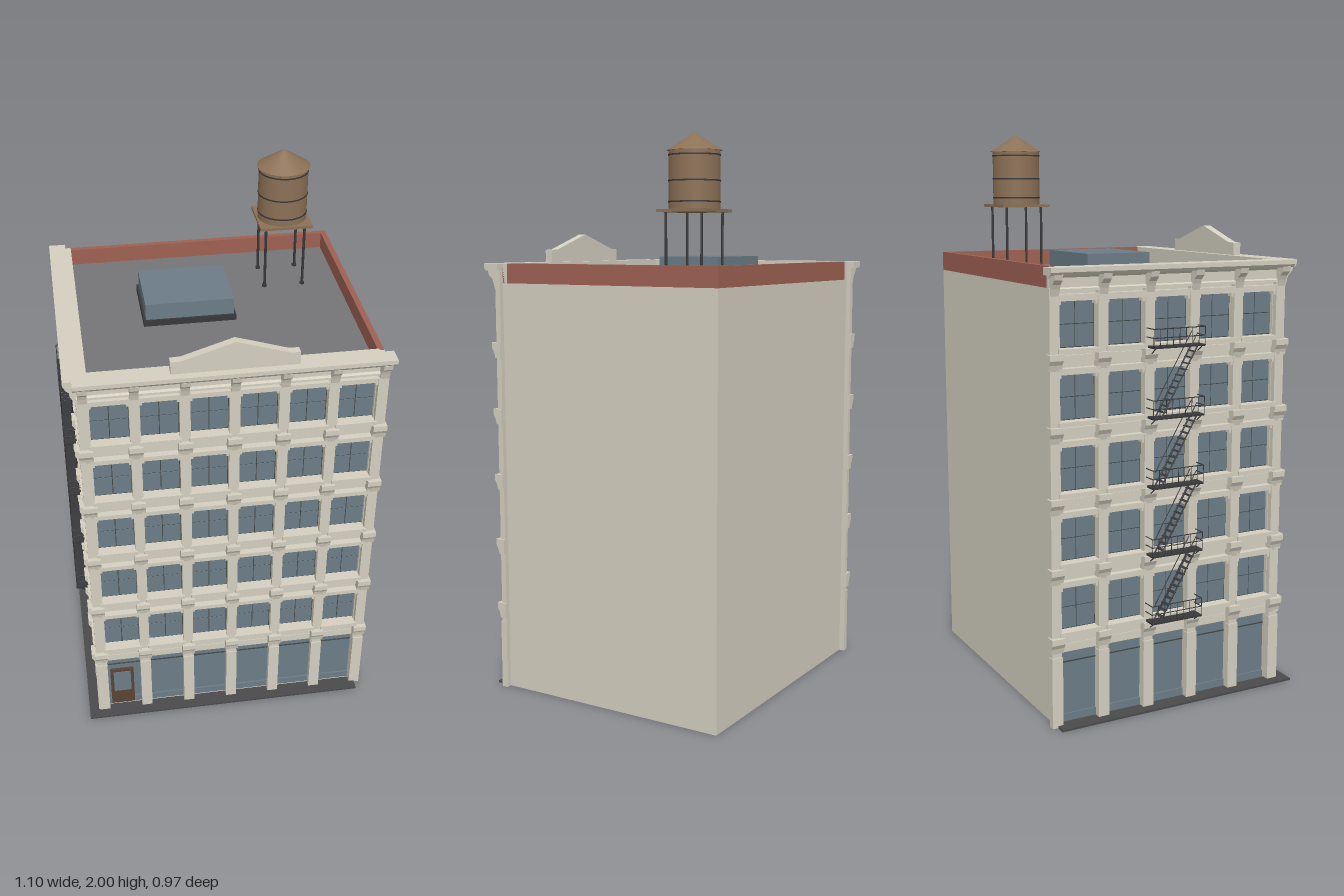
import * as THREE from 'three';

const mat = (color, side = THREE.FrontSide) => new THREE.MeshStandardMaterial({ color, side });
const M = {
  stone: mat(0xd4cfc0), brick: mat(0x9e6152), roof: mat(0x757477), glass: mat(0x6c7c87),
  frame: mat(0x424a44), iron: mat(0x38383b), wood: mat(0x8c7156), door: mat(0x5c4433), walk: mat(0x4a4a4c),
};
const WALL = 0.02, ROOF_Y = 1.5, TOP = 1.56, FLOOR = 0.24, FLOORS = 5;

function add(parent, name, geo, material, x = 0, y = 0, z = 0) {
  const m = new THREE.Mesh(geo, material);
  m.name = name;
  m.position.set(x, y, z);
  parent.add(m);
  return m;
}

// Box given by its minimum and maximum on each axis
function box(parent, name, material, x0, x1, y0, y1, z0, z1) {
  return add(parent, name, new THREE.BoxGeometry(x1 - x0, y1 - y0, z1 - z0), material,
    (x0 + x1) / 2, (y0 + y1) / 2, (z0 + z1) / 2);
}

function group(parent, name) {
  const g = new THREE.Group();
  g.name = name;
  parent.add(g);
  return g;
}

// Bar between two points
function bar(parent, name, a, b, r, material) {
  const p = new THREE.Vector3(...a), q = new THREE.Vector3(...b);
  const m = add(parent, name, new THREE.CylinderGeometry(r, r, p.distanceTo(q), 6), material);
  m.position.copy(p).add(q).multiplyScalar(0.5);
  m.quaternion.setFromUnitVectors(new THREE.Vector3(0, 1, 0), q.sub(p).normalize());
}

// Profile of [out, y] points run along the facade, centred on x
function moulding(parent, name, points, length, x = 0) {
  const shape = new THREE.Shape(points.map(p => new THREE.Vector2(...p)));
  const geo = new THREE.ExtrudeGeometry(shape, { depth: length, bevelEnabled: false });
  geo.translate(0, 0, -length / 2).rotateY(-Math.PI / 2);
  return add(parent, name, geo, M.stone, x);
}

const rectPath = (x0, x1, y0, y1) => new THREE.Path([[x0, y0], [x1, y0], [x1, y1], [x0, y1]]
  .map(p => new THREE.Vector2(...p)));

// Upper window: dark sash with four panes
function addWindow(parent, c, w, y0, y1) {
  const g = group(parent, 'window'), h = w / 2, mid = (y0 + y1) / 2, t = 0.003;
  box(g, 'sash', M.frame, c - h, c + h, y0, y1, -0.023, -0.015);
  for (const s of [-1, 1])
    for (const [a, b] of [[y0 + t, mid - t / 2], [mid + t / 2, y1 - t]]) {
      const xa = c + s * t / 2, xb = c + s * (h - t);
      box(g, 'pane', M.glass, Math.min(xa, xb), Math.max(xa, xb), a, b, -0.016, -0.013);
    }
}

// Shop window, with an entrance door in the chosen bay
function addShopfront(parent, c, w, hasDoor) {
  const g = group(parent, 'shopfront'), h = w / 2;
  box(g, 'shopGlass', M.glass, c - h, c + h, 0.03, 0.26, -0.019, -0.014);
  box(g, 'bulkhead', M.glass, c - h, c + h, 0, 0.03, -0.02, -0.008);
  box(g, 'transomBar', M.frame, c - h, c + h, 0.215, 0.219, -0.015, -0.011);
  if (!hasDoor) return;
  const d = group(g, 'door'), dx = c - 0.008;
  box(d, 'doorLeaf', M.door, dx - 0.045, dx + 0.045, 0.005, 0.19, -0.022, -0.004);
  box(d, 'doorGlass', M.glass, dx - 0.033, dx + 0.033, 0.075, 0.178, -0.005, -0.002);
}

// Decorated street wall, centred on x, its face at z = 0
function addFacade(parent, name, length, bays, doorBay) {
  const f = group(parent, name), pitch = length / bays, w = pitch - 0.032, H = length / 2;
  const bayX = i => (i + 0.5) * pitch - H;
  const wall = new THREE.Shape([[-H, 0], [H, 0], [H, TOP], [-H, TOP]].map(p => new THREE.Vector2(...p)));

  for (let i = 0; i < bays; i++) {
    const c = bayX(i), l = c - w / 2, r = c + w / 2;
    wall.holes.push(rectPath(l, r, 0.001, 0.26));
    addShopfront(f, c, w, i === doorBay);
    for (let k = 0; k < FLOORS; k++) {
      const y0 = 0.335 + k * FLOOR, y1 = y0 + 0.155;
      wall.holes.push(rectPath(l, r, y0, y1));
      addWindow(f, c, w, y0, y1);
      box(f, 'sill', M.stone, l - 0.004, r + 0.004, y0 - 0.016, y0, -0.01, 0.026);
      box(f, 'spandrel', M.stone, l + 0.006, r - 0.006, y0 - 0.045, y0 - 0.022, 0, 0.008);
      box(f, 'lintel', M.stone, l, r, y1, y1 + 0.016, -0.01, 0.018);
      box(f, 'lintelCap', M.stone, l - 0.004, r + 0.004, y1 + 0.016, y1 + 0.022, 0, 0.024);
      for (const x of [l, r - 0.01]) box(f, 'lintelEar', M.stone, x, x + 0.01, y1 - 0.012, y1, -0.01, 0.014);
    }
    // Shop lintel
    box(f, 'shopLintel', M.stone, l, r, 0.262, 0.29, 0, 0.01);
  }

  // Piers with a moulded cap at every floor, and cornice brackets above
  for (let i = 0; i <= bays; i++) {
    const x = i * pitch - H;
    box(f, 'pier', M.stone, x - 0.018, x + 0.018, 0, 1.49, 0, 0.02);
    box(f, 'pierBase', M.stone, x - 0.02, x + 0.02, 0, 0.25, 0, 0.024);
    for (let k = 0; k < FLOORS; k++) {
      const y = 0.265 + k * FLOOR;
      moulding(f, 'pierCap', [[0, y], [0.022, y], [0.027, y + 0.02], [0.036, y + 0.035],
        [0.036, y + 0.055], [0, y + 0.055]], 0.048, x);
    }
    moulding(f, 'corniceBracket', [[0, 1.468], [0.024, 1.468], [0.03, 1.49], [0.036, 1.505],
      [0.052, 1.52], [0.056, 1.538], [0, 1.538]], 0.03, x);
  }
  const body = new THREE.ExtrudeGeometry(wall, { depth: WALL, bevelEnabled: false });
  add(f, 'streetWall', body, M.stone, 0, 0, -WALL);

  // Main cornice
  moulding(f, 'frieze', [[0, 1.482], [0.024, 1.482], [0.024, 1.49], [0.014, 1.494],
    [0.014, 1.525], [0.03, 1.538], [0, 1.538]], length + 0.036);
  moulding(f, 'cornice', [[0, 1.535], [0.052, 1.535], [0.06, 1.545], [0.06, TOP], [0, TOP]], length + 0.06);
  return f;
}

// Landings joined by sloping stairs; the building is on the +x side
function addFireEscape(parent) {
  const g = group(parent, 'fireEscape'), xo = -0.547, xi = -0.508, z0 = -0.12, z1 = 0.08, r = 0.0018;
  for (let k = 0; k < FLOORS; k++) {
    const y = 0.325 + k * FLOOR, ry = y + 0.063;
    box(g, 'landing', M.iron, -0.55, -0.5, y - 0.003, y + 0.003, z0, z1);
    for (const h of [ry, y + 0.033]) {
      bar(g, 'rail', [xo, h, z0], [xo, h, z1], r, M.iron);
      for (const z of [z0, z1]) bar(g, 'endRail', [xo, h, z], [-0.5, h, z], r, M.iron);
    }
    for (let i = 0; i <= 8; i++) {
      const z = z0 + (z1 - z0) * i / 8;
      bar(g, 'baluster', [xo, y, z], [xo, ry, z], 0.0012, M.iron);
    }
    for (const z of [z0 + 0.01, z1 - 0.01]) bar(g, 'brace', [xo, y, z], [-0.49, y - 0.04, z], r, M.iron);
    if (k === FLOORS - 1) continue;
    for (const x of [xo, xi]) {
      bar(g, 'stringer', [x, y, -0.09], [x, y + FLOOR, 0.05], 0.0028, M.iron);
      bar(g, 'handrail', [x, y + 0.045, -0.09], [x, y + FLOOR + 0.045, 0.05], r, M.iron);
    }
    for (let i = 1; i < 12; i++) {
      const t = i / 12, z = -0.09 + 0.14 * t, ty = y + FLOOR * t;
      box(g, 'tread', M.iron, xo, xi, ty - 0.001, ty + 0.001, z - 0.007, z + 0.007);
    }
  }
}

function addWaterTank(parent) {
  const g = group(parent, 'waterTank');
  g.position.set(0.3, 0, -0.24);
  for (const x of [-0.07, 0.07]) for (const z of [-0.07, 0.07]) {
    bar(g, 'tankLeg', [x, ROOF_Y, z], [x, 1.736, z], 0.005, M.iron);
    bar(g, 'legFoot', [x, ROOF_Y, z], [x, ROOF_Y + 0.008, z], 0.009, M.iron);
  }
  box(g, 'tankPlatform', M.wood, -0.094, 0.094, 1.735, 1.745, -0.094, 0.094);
  add(g, 'tankBarrel', new THREE.CylinderGeometry(0.088, 0.088, 0.197, 24), M.wood, 0, 1.8435);
  for (const y of [1.77, 1.84, 1.925])
    add(g, 'tankHoop', new THREE.CylinderGeometry(0.0895, 0.0895, 0.005, 24), M.iron, 0, y);
  add(g, 'tankRoof', new THREE.ConeGeometry(0.095, 0.06, 24), M.wood, 0, 1.97);
}

export function createModel() {
  const model = new THREE.Group();
  model.name = 'loftBuilding';

  // Two street walls
  addFacade(model, 'frontFacade', 1.0, 6, 0).position.set(0.02, 0, 0.42);
  const side = addFacade(model, 'sideFacade', 0.88, 5, -1);
  side.position.set(-0.48, 0, -0.02);
  side.rotation.y = -Math.PI / 2;

  // Plain walls with brick parapets, and the roof
  box(model, 'backWall', M.stone, -0.48, 0.52, 0, 1.49, -0.46, -0.44);
  box(model, 'plainSideWall', M.stone, 0.5, 0.52, 0, 1.49, -0.46, 0.42);
  box(model, 'backParapet', M.brick, -0.48, 0.52, 1.49, TOP, -0.46, -0.44);
  box(model, 'sideParapet', M.brick, 0.5, 0.52, 1.49, TOP, -0.46, 0.42);
  box(model, 'roof', M.roof, -0.465, 0.505, ROOF_Y - 0.012, ROOF_Y, -0.445, 0.405);

  // Pavement along both streets
  box(model, 'frontPavement', M.walk, -0.54, 0.52, 0, 0.007, 0.42, 0.48);
  box(model, 'sidePavement', M.walk, -0.54, -0.48, 0, 0.007, -0.46, 0.42);

  // Gabled name panel, left blank
  const gable = new THREE.Shape([[-0.212, 1.555], [0.212, 1.555], [0.212, 1.605], [0.175, 1.607], [0, 1.663],
    [-0.175, 1.607], [-0.212, 1.605]].map(p => new THREE.Vector2(...p)));
  add(model, 'pediment', new THREE.ExtrudeGeometry(gable, { depth: 0.03, bevelEnabled: false }), M.stone, 0.018, 0, 0.422);

  // Skylight
  box(model, 'skylightCurb', M.iron, -0.238, 0.088, ROOF_Y, 1.522, -0.213, 0.05);
  box(model, 'skylightGlass', M.glass, -0.23, 0.08, 1.52, 1.582, -0.205, 0.042);

  addFireEscape(model);
  addWaterTank(model);
  return model;
}
